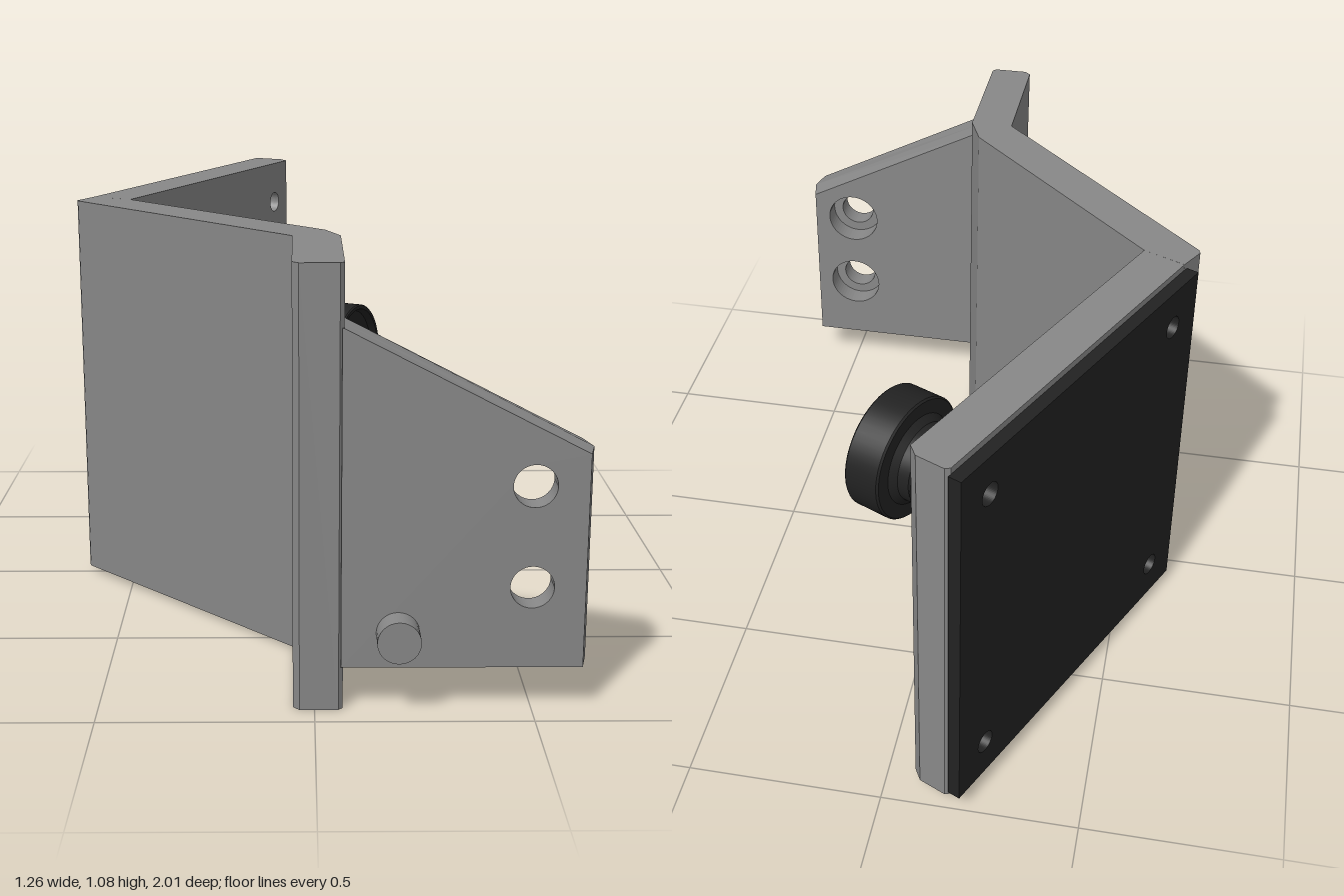
import * as THREE from 'three';
import { toCreasedNormals } from 'three/addons/utils/BufferGeometryUtils.js';

const HEIGHT = 1.045, THICK = 0.117, MID_Y = 0.522, MID_U = 0.52;
const grey = new THREE.MeshStandardMaterial({ color: 0x888888 });
const dark = new THREE.MeshStandardMaterial({ color: 0x222222 });

function mesh(name, geometry, material) {
  const m = new THREE.Mesh(geometry, material);
  m.name = name;
  return m;
}

const polygon = (pts) => new THREE.Shape(pts.map(([x, y]) => new THREE.Vector2(x, y)));

const rect = (x0, y0, x1, y1) => polygon([[x0, y0], [x1, y0], [x1, y1], [x0, y1]]);

function drill(shape, x, y, r) {
  const hole = new THREE.Path();
  hole.absarc(x, y, r, 0, Math.PI * 2, true);
  shape.holes.push(hole);
}

// Extrudes a shape along z between z0 and z1
function slab(shape, z0, z1) {
  const g = new THREE.ExtrudeGeometry(shape, { depth: z1 - z0, bevelEnabled: false, curveSegments: 28 });
  return g.translate(0, 0, z0);
}

// Extrudes a plan outline given in (x, z) upwards to the full height
function upright(pts) {
  const g = slab(polygon(pts.map(([x, z]) => [x, -z])), 0, HEIGHT);
  return g.rotateX(-Math.PI / 2);
}

// Four screw holes at the corners of the camera plate
function drillCorners(shape, r) {
  for (const su of [-1, 1]) for (const sy of [-1, 1]) drill(shape, MID_U + su * 0.4, MID_Y + sy * 0.4, r);
}

function buildCameraHead() {
  const head = new THREE.Group();
  head.name = 'cameraHead';

  // Mounting plate with a cross-shaped opening
  const plate = rect(0.022, 0, 1.0, HEIGHT);
  const a = 0.24, b = 0.09, c = 0.373;
  const cross = [[-a, -a], [-b, -a], [-b, -c], [b, -c], [b, -a], [a, -a],
    [a, a], [b, a], [b, c], [-b, c], [-b, a], [-a, a]];
  plate.holes.push(polygon(cross.map(([x, y]) => [x + MID_U - 0.007, y + MID_Y])));
  drillCorners(plate, 0.03);
  head.add(mesh('mountingPlate', slab(plate, -THICK, 0), grey));

  // Chamfered free edge of the plate
  head.add(mesh('plateEdge', upright([[1.0, 0], [1.0, -THICK], [1.02, -THICK],
    [1.03, -THICK + 0.01], [1.03, -0.03], [1.008, 0]]), grey));

  // Circuit board on the back
  const board = rect(0.008, 0.015, 1.03, 1.028);
  drillCorners(board, 0.03);
  head.add(mesh('circuitBoard', slab(board, -THICK - 0.034, -THICK), dark));

  // Lens barrel, neck and focus ring as one turned body
  const profile = [[0, -THICK], [0.175, -THICK], [0.175, 0.172], [0.172, 0.176], [0.142, 0.176],
    [0.142, 0.2], [0.13, 0.21], [0.13, 0.28], [0.112, 0.3], [0.112, 0.335], [0.13, 0.352],
    [0.17, 0.352], [0.175, 0.357], [0.175, 0.456], [0.172, 0.46], [0.162, 0.46],
    [0.155, 0.44], [0, 0.44]];
  const turned = new THREE.LatheGeometry(profile.map(([r, y]) => new THREE.Vector2(r, y)), 48);
  const lens = mesh('lens', toCreasedNormals(turned.rotateX(Math.PI / 2), 0.5), dark);
  lens.position.set(MID_U, MID_Y, 0);
  head.add(lens);

  head.position.set(-0.5, 0, 0);
  head.rotation.y = THREE.MathUtils.degToRad(65);
  return head;
}

function buildFlange() {
  const flange = new THREE.Group();
  flange.name = 'flange';
  const back = 0.822, step = 0.885, front = 0.945, end = 0.63;

  // Front layer has the screw holes, back layer the wider counterbores
  for (const [name, z0, z1, r] of [['flangeFront', step, front, 0.05], ['flangeBack', back, step, 0.078]]) {
    const shape = polygon([[0.06, 0.105], [end, 0.105], [end, 0.615], [0.065, 0.9], [0.06, 0.9]]);
    for (const y of [0.3, 0.54]) drill(shape, 0.493, y, r);
    const g = slab(shape, z0, z1);
    // Chamfer the outer end
    const p = g.attributes.position;
    for (let i = 0; i < p.count; i++) {
      const z = p.getZ(i);
      const outer = Math.abs(z - front) < 1e-4 || Math.abs(z - back) < 1e-4;
      if (outer && p.getX(i) > end - 0.001) p.setX(i, end - 0.015);
    }
    g.computeVertexNormals();
    flange.add(mesh(name, g, grey));
  }

  // Locating pin
  const pin = mesh('locatingPin', new THREE.CylinderGeometry(0.05, 0.05, 0.08, 32).rotateX(Math.PI / 2), grey);
  pin.position.set(0.19, 0.19, 0.966);
  flange.add(pin);
  return flange;
}

export function createModel() {
  const model = new THREE.Group();
  model.name = 'cameraBracket';

  const body = new THREE.Group();
  body.name = 'bracketAssembly';

  // Bent arm: corner wedge, diagonal run and front leg
  body.add(mesh('bentArm', upright([[-0.491, -0.02], [-0.597, -0.069], [-0.632, -0.005], [-0.628, 0.008],
    [-0.05, 0.586], [-0.05, 0.93], [-0.035, 0.945], [0.055, 0.945], [0.065, 0.935],
    [0.065, 0.585], [0.03, 0.5]]), grey));

  body.add(buildCameraHead(), buildFlange());

  // The assembly leans very slightly
  body.rotation.x = 0.018;
  body.position.set(0, 0.017, -0.009);
  model.add(body);
  return model;
}
